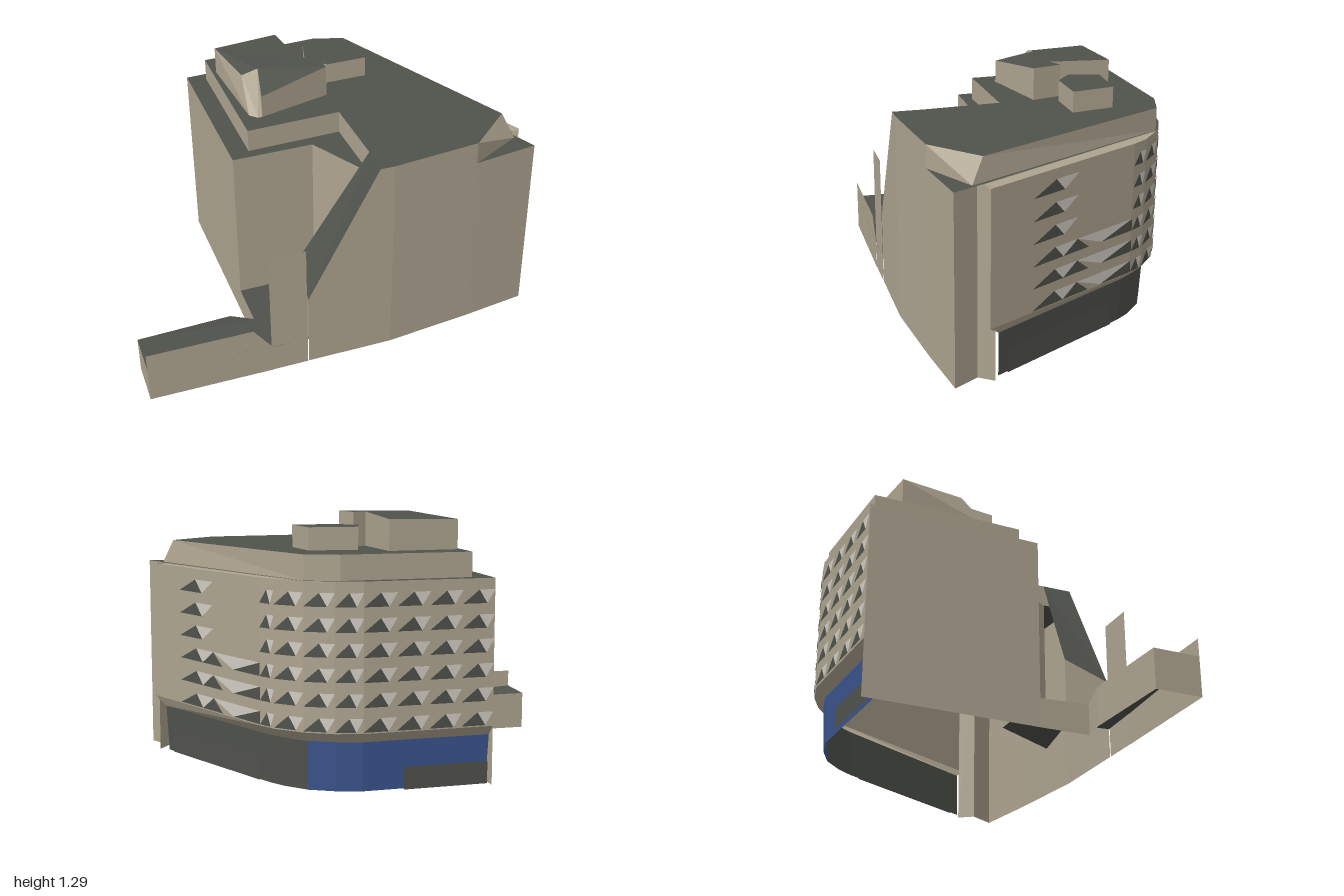
import * as THREE from 'three';

const mat = (name, color) => {
  const m = new THREE.MeshStandardMaterial({ color, side: THREE.DoubleSide, flatShading: true });
  m.name = name;
  return m;
};

export function createModel() {
  const root = new THREE.Group();
  const stone = mat('tan stone', 0xaea490);
  const roof = mat('dark roof', 0x50524c);
  const pale = mat('pale panel', 0xd2ccc4);
  const blue = mat('blue glass', 0x3c5590);

  // Flat-shaded mesh from a list of [x, y, z] triangle corners
  const add = (name, material, corners) => {
    const g = new THREE.BufferGeometry();
    g.setAttribute('position', new THREE.Float32BufferAttribute(corners.flat(), 3));
    g.computeVertexNormals();
    const mesh = new THREE.Mesh(g, material);
    mesh.name = name;
    root.add(mesh);
  };
  const quad = (a, b, c, d) => [a, b, c, a, c, d];
  const at = (pts, y) => pts.map(([x, z]) => [x, y, z]);
  // Roof surface: a polygon triangulated in plan, facing up
  const slab = (name, material, pts) => {
    const plan = pts.map(p => new THREE.Vector2(p[0], p[2]));
    const tris = THREE.ShapeUtils.triangulateShape(plan, []);
    const out = [];
    for (const [a, b, c] of tris) {
      const up = (plan[b].x - plan[a].x) * (plan[c].y - plan[a].y)
        - (plan[b].y - plan[a].y) * (plan[c].x - plan[a].x) < 0;
      out.push(...(up ? [a, b, c] : [a, c, b]).map(i => pts[i]));
    }
    add(name, material, out);
  };
  // Wall strip between a lower and an upper 3D outline
  const loft = (name, material, low, high, closed = false) => {
    const out = [];
    const n = low.length;
    for (let i = 0; i < (closed ? n : n - 1); i++) {
      const j = (i + 1) % n;
      out.push(...quad(low[i], low[j], high[j], high[i]));
    }
    add(name, material, out);
  };
  const wall = (name, pts, y0, y1) => loft(name, stone, at(pts, y0), at(pts, y1));

  // Back facade in plan, from the +x end round to the -x end
  const facade = [[0.93, -0.17], [0.2, -0.8], [0.12, -0.855], [-0.03, -0.907],
    [-0.18, -0.915], [-0.31, -0.89], [-0.89, -0.61]];
  const inset = [[0.86, -0.2], [0.17, -0.76], [0.09, -0.81], [-0.04, -0.86],
    [-0.18, -0.865], [-0.3, -0.845], [-0.87, -0.57]];

  // Upper back facade with a bevelled foot
  wall('backFacade', facade, 0.29, 1.0);
  loft('facadeFoot', stone, at(inset, 0.24), at(facade, 0.29));
  // Recessed ground floor: dark on one side, glazed on the other
  const foot = inset.map(([x, z]) => [x * 0.985, z * 0.985]);
  loft('groundFloorDark', roof, at(foot.slice(0, 4), 0), at(inset.slice(0, 4), 0.24));
  loft('groundFloorGlass', blue, at(foot.slice(3), 0), at(inset.slice(3), 0.24));

  // Thin plate set on a facade segment, corners given as [t, y]
  const onSegment = (a, b, pts, off) => {
    const dx = b[0] - a[0], dz = b[1] - a[1], l = Math.hypot(dx, dz);
    return pts.map(([t, y]) => [a[0] + dx * t - dz / l * off, y, a[1] + dz * t + dx / l * off]);
  };
  add('groundPanelEast', roof, quad(...onSegment(foot[0], foot[1], [[0.06, 0], [0.92, 0], [0.92, 0.13], [0.06, 0.13]], 0.009)));
  add('groundPanelWest', roof, quad(...onSegment(foot[5], foot[6], [[0.32, 0], [1, 0], [1, 0.11], [0.32, 0.11]], 0.022)));

  // Zigzag window bands: dark triangles point up, pale ones point down
  const darkTris = [], paleTris = [];
  for (let row = 0; row < 6; row++) {
    const y = 0.297 + row * 0.117, top = y + 0.065;
    const dark = (k, b0, b1, tip) => darkTris.push(...onSegment(facade[k], facade[k + 1], [[b0, y], [tip, top], [b1, y]], 0.004));
    const light = (k, t0, t1, tip) => paleTris.push(...onSegment(facade[k], facade[k + 1], [[t0, top], [t1, top], [tip, y]], 0.004));
    dark(0, 0.278, 0.49, 0.43);
    light(0, 0.43, 0.59, 0.49);
    if (row < 3) {
      dark(0, 0.49, 0.675, 0.59);
      light(0, 0.59, 1, 0.77);
      dark(0, 0.77, 1, 1);
    }
    for (let k = 1; k < 6; k++) {
      const n = k === 5 ? 4 : 1;
      for (let i = 0; i < n; i++) {
        dark(k, i / n, (i + 0.75) / n, (i + 0.5) / n);
        light(k, (i + 0.5) / n, (i + 1) / n, (i + 0.75) / n);
      }
    }
  }
  add('windowDarkFacets', roof, darkTris);
  add('windowPaleFacets', pale, paleTris);

  // Side and front walls
  wall('sideWall', [[-0.89, -0.61], [-0.53, 0.21]], 0, 1);
  wall('recessWall', [[-0.53, 0.21], [-0.14, 0.04], [0.16, 0.28]], 0.15, 1);
  wall('cornerPier', [[0.9, -0.19], [0.88, -0.1], [1, -0.01], [0.7, 0.17]], 0, 1);
  wall('frontWall', [[0.7, 0.17], [0.29, 0.4], [0.22, 0.43]], 0, 1.12);
  loft('frontWallSloped', stone, at([[0.22, 0.43], [-0.13, 0.58]], 0),
    [[0.22, 1.12, 0.43], [-0.13, 0.41, 0.58]]);

  // Sloping roof beside the front wall
  add('slopedRoof', roof, quad([-0.13, 0.41, 0.58], [0.22, 1.12, 0.43], [0.16, 1.12, 0.28], [-0.19, 0.51, 0.36]));
  loft('slopedRoofSide', stone, at([[-0.13, 0.58], [-0.19, 0.36]], 0.15),
    [[-0.13, 0.41, 0.58], [-0.19, 0.51, 0.36]]);

  // Terrace at the lower roof level, with a stone ledge over the back facade
  slab('terrace', roof, at([[-0.89, -0.61], [-0.31, -0.89], [-0.18, -0.915], [-0.03, -0.907],
    [0.87, -0.13], [1, -0.01], [0.7, 0.17], [0.22, 0.43], [0.16, 0.28], [-0.14, 0.04], [-0.53, 0.21]], 1));
  slab('facadeLedge', stone, at([[-0.03, -0.907], [0.12, -0.855], [0.2, -0.8], [0.93, -0.17], [0.87, -0.13]], 0.997));

  // Upper roof and its low walls
  const upper = [[-0.78, -0.6], [-0.2, -0.885], [-0.03, -0.9], [0.83, -0.12], [0.7, 0.17],
    [0.29, 0.4], [0.22, 0.43], [0.16, 0.28], [-0.01, -0.09], [-0.46, 0.12]];
  slab('upperRoof', roof, at(upper, 1.12));
  const upperLow = at(upper, 1);
  upperLow[3] = [0.9, 1, -0.08];
  loft('upperRoofWall', stone, upperLow, at(upper, 1.12), true);

  // Front annex: low roof, walls, parapet and upright panel
  const annex = [[-0.53, 0.15, 0.21], [-0.43, 0.16, 0.45], [-0.55, 0.2, 0.48], [-1, 0.2, 0.69],
    [-0.91, 0.2, 0.91], [-0.31, 0.16, 0.66], [-0.13, 0.15, 0.58], [-0.19, 0.15, 0.36],
    [0.16, 0.15, 0.28], [-0.14, 0.15, 0.04]];
  slab('annexRoof', roof, annex);
  const annexEdge = annex.slice(0, 5);
  loft('annexWall', stone, annexEdge.map(([x, , z]) => [x, 0, z]), annexEdge);
  loft('annexParapet', stone, at([[-0.91, 0.91], [-0.4, 0.697], [-0.31, 0.66]], 0),
    [[-0.91, 0.29, 0.91], [-0.4, 0.29, 0.697], [-0.31, 0.16, 0.66]]);
  wall('uprightPanel', [[-0.315, 0.66], [-0.135, 0.583]], 0, 0.725);

  // Rooftop plant rooms
  const plantTop = [[-0.7, 1.265, -0.47], [-0.39, 1.27, -0.635], [-0.23, 1.29, -0.33],
    [-0.18, 1.29, -0.39], [-0.085, 1.29, -0.26], [-0.4, 1.24, -0.02], [-0.44, 1.29, -0.22], [-0.52, 1.27, -0.18]];
  const plantLow = plantTop.map(([x, , z]) => [x, 1.12, z]);
  plantLow[6] = [-0.42, 1.12, -0.01];
  plantLow[7] = [-0.47, 1.12, -0.03];
  slab('plantRoomRoof', roof, plantTop);
  loft('plantRoomWalls', stone, plantLow, plantTop, true);
  const small = [[-0.235, -0.59], [-0.01, -0.675], [0.11, -0.48], [-0.09, -0.39], [-0.21, -0.43]];
  slab('smallPlantRoof', roof, at(small, 1.23));
  loft('smallPlantWalls', stone, at(small, 1.12), at(small, 1.23), true);

  return root;
}
